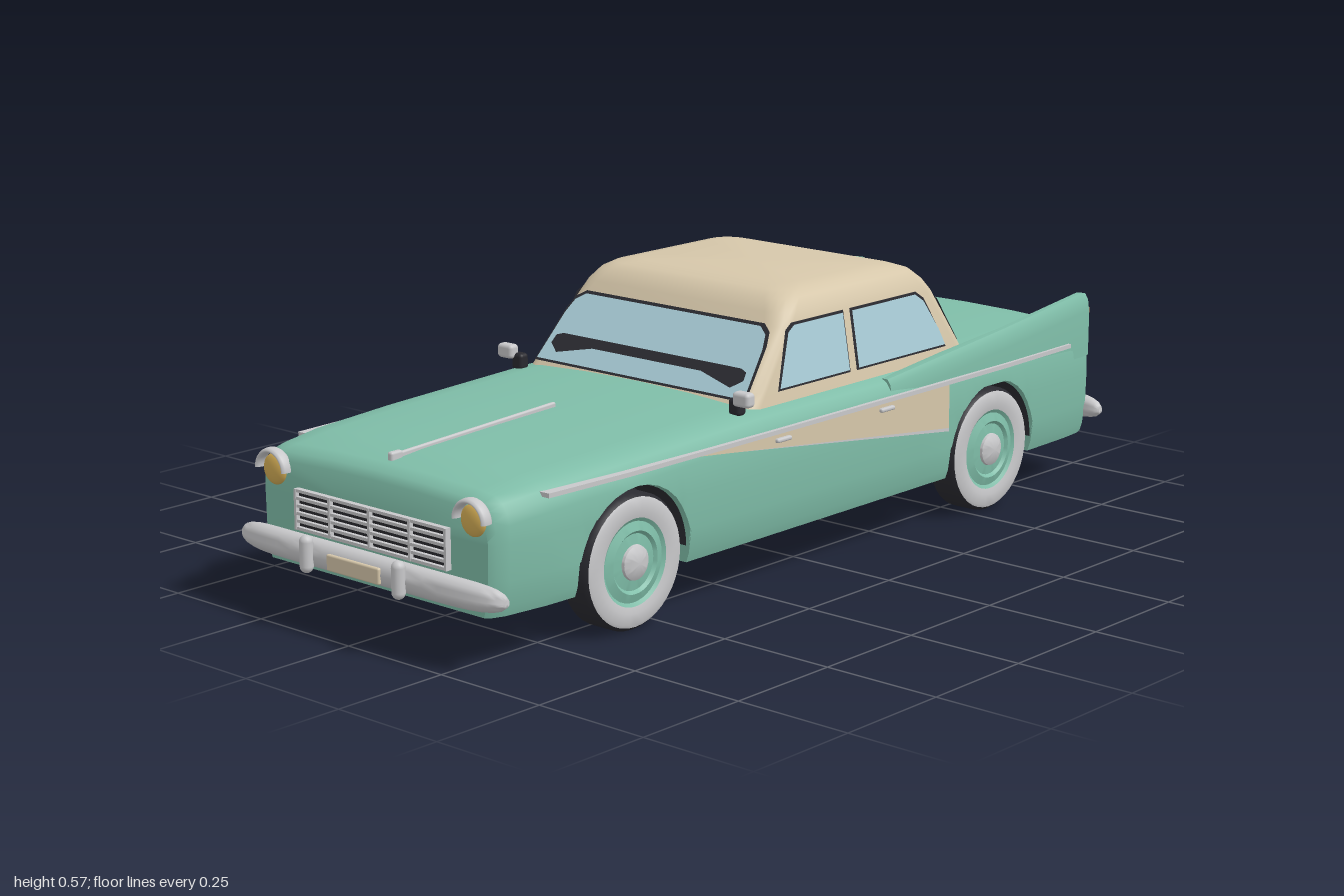
import * as THREE from 'three';
import { toCreasedNormals } from 'three/addons/utils/BufferGeometryUtils.js';
import { RoundedBoxGeometry } from 'three/addons/geometries/RoundedBoxGeometry.js';

const mat = (name, color, side = THREE.FrontSide) => {
  const m = new THREE.MeshStandardMaterial({ color, side });
  m.name = name;
  return m;
};

// Skin a list of equal-length rings, closing both ends with fans
function loft(rings, crease = 0.6) {
  const n = rings[0].length, pos = [], idx = [];
  rings.forEach(r => r.forEach(p => pos.push(...p)));
  for (let i = 0; i < rings.length - 1; i++) for (let j = 0; j < n; j++) {
    const k = (j + 1) % n, a = i * n + j, b = i * n + k, c = b + n, d = a + n;
    idx.push(a, b, c, a, c, d);
  }
  [0, rings.length - 1].forEach(i => {
    const mid = pos.length / 3;
    pos.push(...[0, 1, 2].map(k => rings[i].reduce((s, p) => s + p[k], 0) / n));
    for (let j = 0; j < n; j++) {
      const a = i * n + j, b = i * n + (j + 1) % n;
      if (i === 0) idx.push(mid, b, a); else idx.push(mid, a, b);
    }
  });
  const g = new THREE.BufferGeometry();
  g.setAttribute('position', new THREE.Float32BufferAttribute(pos, 3));
  g.setIndex(idx);
  return toCreasedNormals(g, crease);
}

// Body stations: z, top height, half width
const KEYS = [[-0.94, 0.315, 0.312], [-0.932, 0.338, 0.326], [-0.91, 0.35, 0.334], [-0.85, 0.355, 0.34], [-0.6, 0.36, 0.348],
  [-0.3, 0.362, 0.35], [0.2, 0.361, 0.35], [0.6, 0.347, 0.348], [0.8, 0.338, 0.34], [0.895, 0.329, 0.328], [0.92, 0.318, 0.318], [0.93, 0.302, 0.306]];
function station(z) {
  let i = 0;
  while (i < KEYS.length - 2 && z > KEYS[i + 1][0]) i++;
  const [a, b] = [KEYS[i], KEYS[i + 1]], t = (z - a[0]) / (b[0] - a[0]);
  return { top: a[1] + (b[1] - a[1]) * t, w: a[2] + (b[2] - a[2]) * t };
}
const AXLES = [-0.555, 0.575], ARCH = 0.152, AXLE_Y = 0.135, FLOOR = 0.1;

function bodyGeometry() {
  const st = KEYS.map(k => [k[0], FLOOR]).filter(s => AXLES.every(c => Math.abs(s[0] - c) > ARCH));
  AXLES.forEach(c => {
    st.push([c - ARCH, FLOOR]);
    for (let i = 16; i >= 0; i--) {
      const t = Math.PI * i / 16;
      st.push([c + ARCH * Math.cos(t), AXLE_Y + ARCH * Math.sin(t)]);
    }
    st.push([c + ARCH, FLOOR]);
  });
  st.sort((a, b) => a[0] - b[0]);
  return loft(st.map(([z, yb]) => {
    const { top, w } = station(z);
    const half = [[0.955, yb], [0.975, FLOOR + 0.02], [0.995, 0.17], [1, 0.24], [0.997, top - 0.055], [0.98, top - 0.034],
      [0.945, top - 0.017], [0.88, top - 0.005], [0.75, top], [0.4, top + 0.005]]
      .map(([u, y]) => [u * w, Math.max(y, yb), z]);
    return [...half, [0, top + 0.007, z], ...half.slice().reverse().map(p => [-p[0], p[1], z])];
  }), 0.65);
}

// Rounded-rectangle rings stacked upwards: y, half width, rear z, front z, corner radius
function cabinGeometry() {
  const levels = [[0.35, 0.311, -0.515, 0.214, 0.035], [0.385, 0.305, -0.495, 0.185, 0.035], [0.5, 0.285, -0.43, 0.09, 0.04],
    [0.525, 0.278, -0.412, 0.074, 0.045], [0.548, 0.264, -0.388, 0.054, 0.05], [0.56, 0.245, -0.355, 0.03, 0.05], [0.566, 0.21, -0.31, -0.01, 0.05]];
  return loft(levels.map(([y, w, z0, z1, r]) => {
    const ring = [];
    [[w, z0], [-w, z0], [-w, z1], [w, z1]].forEach(([cx, cz], q) => {
      for (let i = 0; i <= 5; i++) {
        const t = (q + i / 5) * Math.PI / 2;
        ring.push([cx - Math.sign(cx) * r + r * Math.cos(t), y, cz + (q < 2 ? r : -r) - r * Math.sin(t)]);
      }
    });
    return ring;
  }), 0.7);
}

const shapeOf = pts => new THREE.Shape(pts.map(p => new THREE.Vector2(...p)));
// Flat outline laid on a sloping cabin face by a mapping (u, y) -> [x, y, z]
function panel(pts, map) {
  const g = new THREE.ShapeGeometry(shapeOf(pts)), p = g.attributes.position;
  for (let i = 0; i < p.count; i++) p.setXYZ(i, ...map(p.getX(i), p.getY(i)));
  g.computeVertexNormals();
  return g;
}
const grow = (pts, d) => {
  const c = [0, 1].map(k => (Math.min(...pts.map(p => p[k])) + Math.max(...pts.map(p => p[k]))) / 2);
  return pts.map(p => p.map((v, k) => v + d * Math.sign(v - c[k])));
};

export function createModel() {
  const car = new THREE.Group();
  car.name = 'car';
  const paint = mat('green paint', 0x7fbda8), cream = mat('cream paint', 0xd6c7aa), chrome = mat('chrome', 0xc8c8ca);
  const black = mat('black rubber', 0x29292f), gold = mat('headlight gold', 0xd2ac55), amber = mat('tail light amber', 0xc9a577);
  const glass = mat('glass', 0xabcfda, THREE.DoubleSide), trimBlack = mat('black trim', 0x2b2b31, THREE.DoubleSide);
  const add = (name, geo, m, x = 0, y = 0, z = 0, parent = car) => {
    const mesh = new THREE.Mesh(geo, m);
    mesh.name = name;
    mesh.position.set(x, y, z);
    parent.add(mesh);
    return mesh;
  };
  const box = (w, h, d) => new THREE.BoxGeometry(w, h, d);
  const rbox = (w, h, d, r) => new RoundedBoxGeometry(w, h, d, 3, r);

  add('body', bodyGeometry(), paint);
  add('cabin', cabinGeometry(), cream);
  add('underside', box(0.49, 0.19, 1.4), black, 0, 0.185, 0);

  // Windows with dark surrounds
  const frontFace = o => (x, y) => [x, y, 0.185 - (y - 0.385) * 0.826 + o];
  const rearFace = o => (x, y) => [x, y, -0.495 + (y - 0.385) * 0.565 - o];
  const sideFace = (s, o) => (z, y) => [s * (0.305 - (y - 0.385) * 0.174 + o), y, z];
  const pane = (name, pts, face) => {
    add(name + 'Seal', panel(grow(pts, 0.005), face(0.002)), trimBlack);
    add(name, panel(pts, face(0.005)), glass);
  };
  pane('windshield', [[-0.286, 0.374], [0.286, 0.374], [0.272, 0.462], [0.262, 0.487], [0.24, 0.5], [-0.24, 0.5], [-0.262, 0.487], [-0.272, 0.462]], frontFace);
  add('dashboard', panel([[-0.265, 0.405], [-0.24, 0.39], [-0.15, 0.408], [0.15, 0.408], [0.24, 0.39], [0.265, 0.405], [0.262, 0.42],
    [0.245, 0.425], [-0.245, 0.425], [-0.262, 0.42]], frontFace(0.008)), trimBlack);
  pane('rearWindow', [[-0.28, 0.385], [0.28, 0.385], [0.265, 0.47], [0.245, 0.493], [-0.245, 0.493], [-0.265, 0.47]], rearFace);

  for (const s of [-1, 1]) {
    const side = new THREE.Group();
    side.name = s > 0 ? 'leftSide' : 'rightSide';
    car.add(side);
    const put = (name, geo, m, x, y, z) => add(name, geo, m, s * x, y, z, side);
    const ringSide = r => s > 0 ? r : r.map(([x, y, z]) => [-x, y, z]).reverse();

    pane('frontSideWindow', [[0.115, 0.385], [-0.105, 0.385], [-0.105, 0.502], [0.05, 0.502], [0.07, 0.49]], o => sideFace(s, o));
    pane('rearSideWindow', [[-0.135, 0.385], [-0.425, 0.385], [-0.41, 0.42], [-0.37, 0.485], [-0.345, 0.502], [-0.135, 0.502]], o => sideFace(s, o));

    // Tail fin
    const fin = [[-0.935, 0.405, 0.326], [-0.925, 0.418, 0.333], [-0.9, 0.422, 0.337], [-0.6, 0.392, 0.345], [-0.2, 0.352, 0.345]];
    put('tailFin', loft(fin.map(([z, t, w]) => ringSide([[0.285, 0.28, z], [w, 0.28, z], [w, t - 0.04, z], [w - 0.004, t - 0.012, z],
      [w - 0.012, t, z], [w - 0.024, t, z], [0.293, 0.345, z]])), 0.6), paint, 0, 0, 0);
    put('tailLight', rbox(0.028, 0.045, 0.014, 0.005), amber, 0.31, 0.365, -0.935);
    [0.16, 0.235].forEach(x => put('rearLamp', new THREE.SphereGeometry(0.013, 16, 10).scale(1, 1, 0.6), amber, x, 0.255, -0.94));

    // Side trim: cream flash with chrome edging, long chrome strip, handles
    const flash = [[0.41, 0.312], [-0.385, 0.312], [-0.385, 0.217]];
    const plate = (pts, d) => new THREE.ExtrudeGeometry(shapeOf(pts), { depth: d, bevelEnabled: false }).rotateY(-Math.PI / 2).translate(d / 2, 0, 0);
    put('flashEdging', plate([[0.42, 0.314], [-0.388, 0.314], [-0.388, 0.209]], 0.006), chrome, 0.349, 0, 0);
    put('creamFlash', plate(flash, 0.008), cream, 0.35, 0, 0);
    put('sideStrip', loft([-0.84, -0.6, -0.3, 0.2, 0.6, 0.81].map(z => {
      const w = station(z).w;
      return ringSide([[w - 0.02, 0.311, z], [w + 0.005, 0.311, z], [w + 0.005, 0.32, z], [w - 0.02, 0.32, z]]);
    }), 0.3), chrome, 0, 0, 0);
    [0.16, -0.17].forEach(z => put('doorHandle', rbox(0.014, 0.009, 0.045, 0.004), chrome, 0.355, 0.299, z));

    // Door mirror
    put('mirrorStalk', rbox(0.03, 0.035, 0.025, 0.008), black, 0.3, 0.37, 0.235);
    put('mirror', rbox(0.042, 0.03, 0.026, 0.008), chrome, 0.325, 0.39, 0.245);

    // Headlight under a chrome visor
    put('headlight', new THREE.SphereGeometry(0.031, 24, 16).scale(1, 1, 0.4), gold, 0.272, 0.282, 0.932);
    put('headlightVisor', new THREE.TorusGeometry(0.038, 0.006, 10, 28, Math.PI).scale(1, 1, 2.2), chrome, 0.272, 0.282, 0.937);

    // Wheels: lathe profiles as radius, distance outwards
    AXLES.forEach(z => {
      const wheel = new THREE.Group();
      wheel.name = z > 0 ? 'frontWheel' : 'rearWheel';
      wheel.position.set(s * 0.304, AXLE_Y, z);
      wheel.rotation.z = -s * Math.PI / 2;
      side.add(wheel);
      const turn = (name, m, pts) => add(name, toCreasedNormals(new THREE.LatheGeometry(pts.map(p => new THREE.Vector2(...p)), 40), 0.7), m, 0, 0, 0, wheel);
      turn('tyre', black, [[0, -0.03], [0.08, -0.03], [0.09, -0.036], [0.122, -0.036], [0.135, -0.026], [0.135, 0.026], [0.128, 0.035]]);
      turn('whitewall', chrome, [[0.128, 0.035], [0.122, 0.038], [0.1, 0.039], [0.087, 0.036]]);
      turn('rim', paint, [[0.087, 0.036], [0.08, 0.031], [0.062, 0.037], [0.056, 0.031], [0.03, 0.034]]);
      turn('hubcap', chrome, [[0.036, 0.03], [0.034, 0.039], [0.022, 0.046], [0, 0.049]]);
      const liner = new THREE.CylinderGeometry(0.149, 0.149, 0.09, 32, 1, true, 0, Math.PI).rotateZ(Math.PI / 2);
      put('archLiner', liner, trimBlack, 0.291, AXLE_Y, z);
    });
  }

  // Bumpers with guards, the rear one turned round
  [['frontBumper', 0.148, 0], ['rearBumper', 0.158, Math.PI]].forEach(([name, y, turn]) => {
    const g = new THREE.Group();
    g.name = name;
    g.position.y = y;
    g.rotation.y = turn;
    car.add(g);
    const rings = [];
    for (let i = 0; i <= 24; i++) {
      const u = -Math.cos(Math.PI * i / 24), k = Math.max(0.25, Math.pow(1 - Math.pow(Math.abs(u), 10), 0.4)), ring = [];
      for (let j = 0; j < 16; j++) {
        const t = j / 16 * Math.PI * 2;
        ring.push([u * 0.362, 0.028 * k * Math.cos(t) - 0.004 * u * u, 0.957 - 0.018 * u ** 4 + 0.025 * k * Math.sin(t)]);
      }
      rings.push(ring);
    }
    add('bumperBar', loft(rings, 0.9), chrome, 0, 0, 0, g);
    [-0.127, 0.127].forEach(x => add('bumperGuard', new THREE.CapsuleGeometry(0.0135, 0.048, 6, 14), chrome, x, 0.004, 0.9865, g));
    [-0.2, 0.2].forEach(x => add('bumperBracket', box(0.03, 0.025, 0.08), black, x, -0.008, 0.91, g));
  });
  add('frontPlate', rbox(0.145, 0.033, 0.009, 0.004), cream, 0, 0.146, 0.982);
  add('rearPlate', rbox(0.13, 0.034, 0.009, 0.004), cream, 0, 0.208, -0.941);

  // Grille
  add('grilleBack', box(0.41, 0.08, 0.008), black, 0, 0.215, 0.93);
  for (let i = 0; i < 6; i++) add('grilleBar', box(0.41, 0.006, 0.012), chrome, 0, 0.178 + i * 0.015, 0.936);
  [-0.206, -0.11, 0, 0.11, 0.206].forEach(x => add('grillePost', box(0.006, 0.081, 0.014), chrome, x, 0.2155, 0.936));

  // Hood spear
  add('hoodSpear', rbox(0.009, 0.014, 0.43, 0.004), chrome, 0, 0.352, 0.655).rotation.x = 0.047;
  add('hoodOrnament', rbox(0.014, 0.026, 0.03, 0.005), chrome, 0, 0.34, 0.87);
  return car;
}
